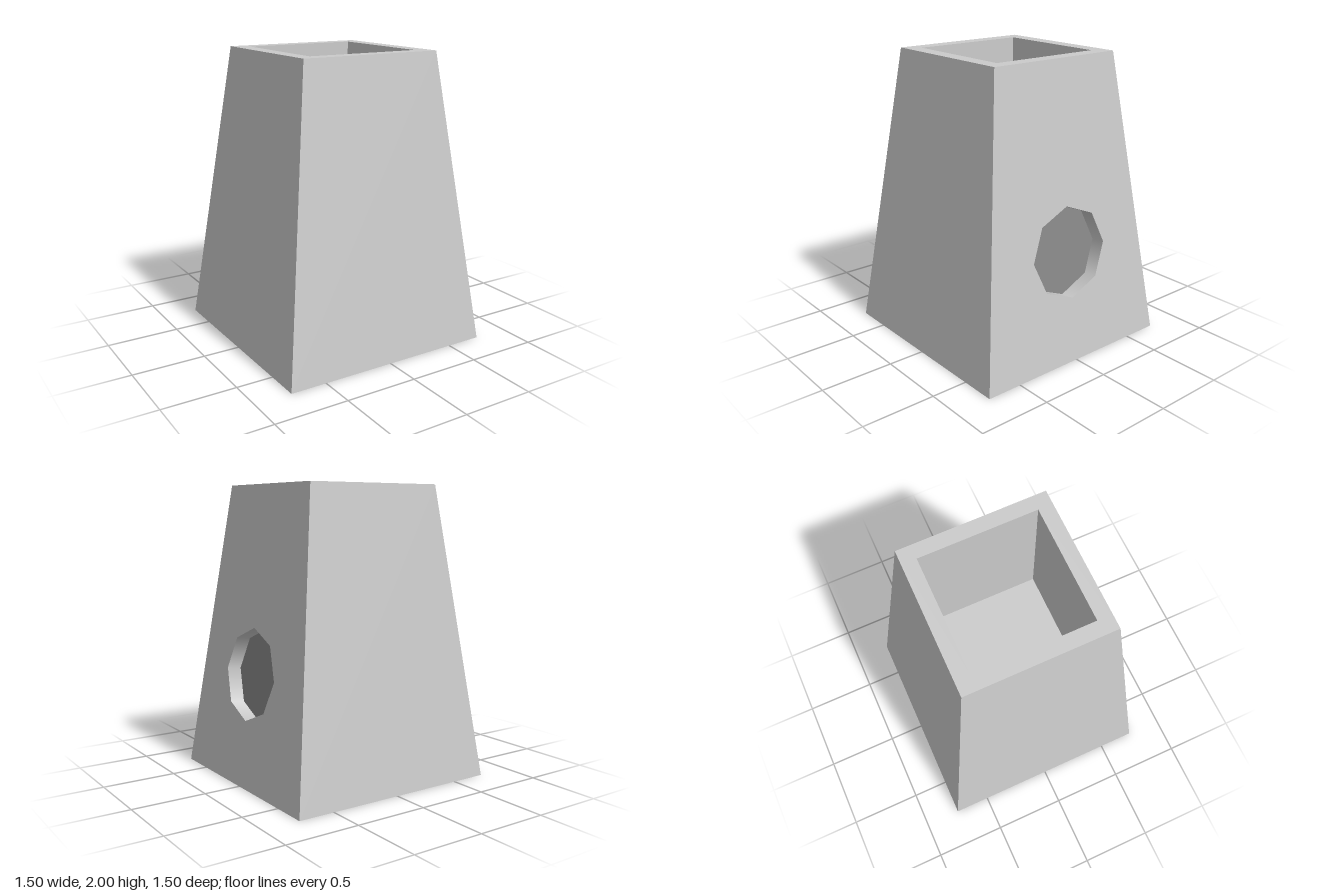
import * as THREE from 'three';

const HEIGHT = 2, BASE = 0.75, TOP = 0.5;     // half widths at foot and rim
const OPENING = 0.4, CAVITY_DEPTH = 1;        // square shaft in the top
const HOLE_R = 0.312, HOLE_Y = 0.75, RECESS = 0.1;
const LEAN = Math.atan((BASE - TOP) / HEIGHT);
const SLANT = Math.hypot(HEIGHT, BASE - TOP);

const grey = new THREE.MeshStandardMaterial({ color: 0xcccccc });
const inside = new THREE.MeshStandardMaterial({ color: 0xcccccc, side: THREE.BackSide });
const dark = new THREE.MeshStandardMaterial({ color: 0x888888 });

function add(parent, name, geometry, material = grey) {
  const mesh = new THREE.Mesh(geometry, material);
  mesh.name = name;
  parent.add(mesh);
  return mesh;
}

const polygon = (points, Type = THREE.Shape) =>
  new Type(points.map(([x, y]) => new THREE.Vector2(x, y)));
const square = (h, Type) => polygon([[-h, -h], [h, -h], [h, h], [-h, h]], Type);

export function createModel() {
  const model = new THREE.Group();
  model.name = 'taperedTower';
  const holeCentre = HOLE_Y / Math.cos(LEAN);

  // Four leaning outer walls; the left one has an octagonal recess
  for (let i = 0; i < 4; i++) {
    const side = new THREE.Group();
    side.name = ['frontSide', 'leftSide', 'backSide', 'rightSide'][i];
    side.rotation.y = i * Math.PI / 2;
    model.add(side);

    const face = new THREE.Group();
    face.name = 'leaningFace';
    face.position.z = BASE;
    face.rotation.x = -LEAN;
    side.add(face);

    const wall = polygon([[-BASE, 0], [BASE, 0], [TOP, SLANT], [-TOP, SLANT]]);
    if (i === 1) {
      const octagon = Array.from({ length: 8 }, (_, k) => {
        const a = k * Math.PI / 4;
        return [HOLE_R * Math.sin(a), holeCentre + HOLE_R * Math.cos(a)];
      });
      wall.holes.push(polygon(octagon, THREE.Path));

      const lining = new THREE.CylinderGeometry(HOLE_R, HOLE_R, RECESS, 8, 1, true);
      lining.rotateX(Math.PI / 2);
      add(face, 'recessLining', lining, inside).position.set(0, holeCentre, -RECESS / 2);

      const panel = new THREE.CircleGeometry(HOLE_R, 8, Math.PI / 2);
      add(face, 'recessPanel', panel, dark).position.set(0, holeCentre, -RECESS);
    }
    add(face, 'outerWall', new THREE.ShapeGeometry(wall));

    // Upright wall of the shaft, facing inward
    const shaft = new THREE.PlaneGeometry(OPENING * 2, CAVITY_DEPTH);
    add(side, 'shaftWall', shaft).position.set(0, HEIGHT - CAVITY_DEPTH / 2, -OPENING);
  }

  // Flat rim around the opening
  const rim = square(TOP);
  rim.holes.push(square(OPENING, THREE.Path));
  add(model, 'topRim', new THREE.ShapeGeometry(rim).rotateX(-Math.PI / 2)).position.y = HEIGHT;

  // Shaft floor and underside
  const floor = new THREE.PlaneGeometry(OPENING * 2, OPENING * 2).rotateX(-Math.PI / 2);
  add(model, 'shaftFloor', floor).position.y = HEIGHT - CAVITY_DEPTH;
  add(model, 'underside', new THREE.PlaneGeometry(BASE * 2, BASE * 2).rotateX(Math.PI / 2));

  return model;
}
